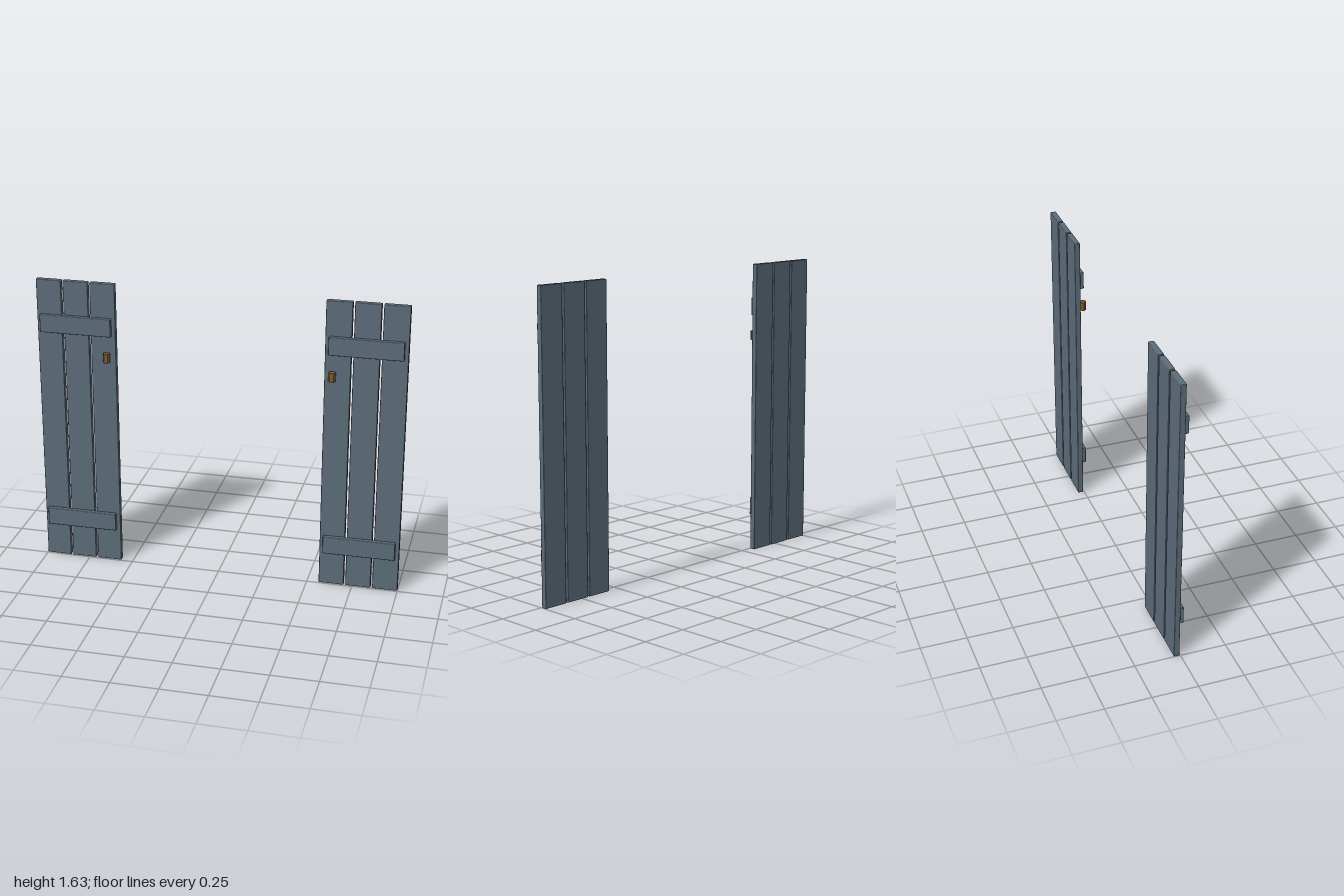
import * as THREE from 'three';
import { RoundedBoxGeometry } from 'three/addons/geometries/RoundedBoxGeometry.js';

const paint = new THREE.MeshStandardMaterial({ name: 'slate blue paint', color: 0x5b6b78 });
const brass = new THREE.MeshStandardMaterial({ name: 'aged brass', color: 0x7a5a30 });

const HEIGHT = 1.628;
const CENTRE = 0.7825; // x of the middle of each shutter

function addMesh(parent, name, geometry, material, x, y, z) {
  const mesh = new THREE.Mesh(geometry, material);
  mesh.name = name;
  mesh.position.set(x, y, z);
  parent.add(mesh);
}

// One shutter, side = +1 for left and -1 for right
function createShutter(side) {
  const shutter = new THREE.Group();
  shutter.name = side > 0 ? 'leftShutter' : 'rightShutter';

  // Three upright boards with narrow gaps
  const board = new RoundedBoxGeometry(0.138, HEIGHT, 0.031, 1, 0.004);
  for (let i = -1; i <= 1; i++) {
    addMesh(shutter, 'board', board, paint, side * CENTRE + i * 0.1485, HEIGHT / 2, -0.0205);
  }

  // Two cross battens on the front
  const batten = new RoundedBoxGeometry(0.394, 0.1, 0.026, 1, 0.004);
  for (const y of [0.244, 1.389]) {
    addMesh(shutter, 'batten', batten, paint, side * CENTRE, y, 0.008);
  }

  // Six-sided latch near the inner edge
  const latch = new THREE.CylinderGeometry(0.0195, 0.0195, 0.05, 6).rotateY(Math.PI / 6).toNonIndexed();
  latch.computeVertexNormals();
  addMesh(shutter, 'latch', latch, brass, side * 0.61, 1.223, 0.0205);
  return shutter;
}

export function createModel() {
  const model = new THREE.Group();
  model.name = 'shutterPair';
  for (const side of [-1, 1]) model.add(createShutter(side));
  return model;
}
